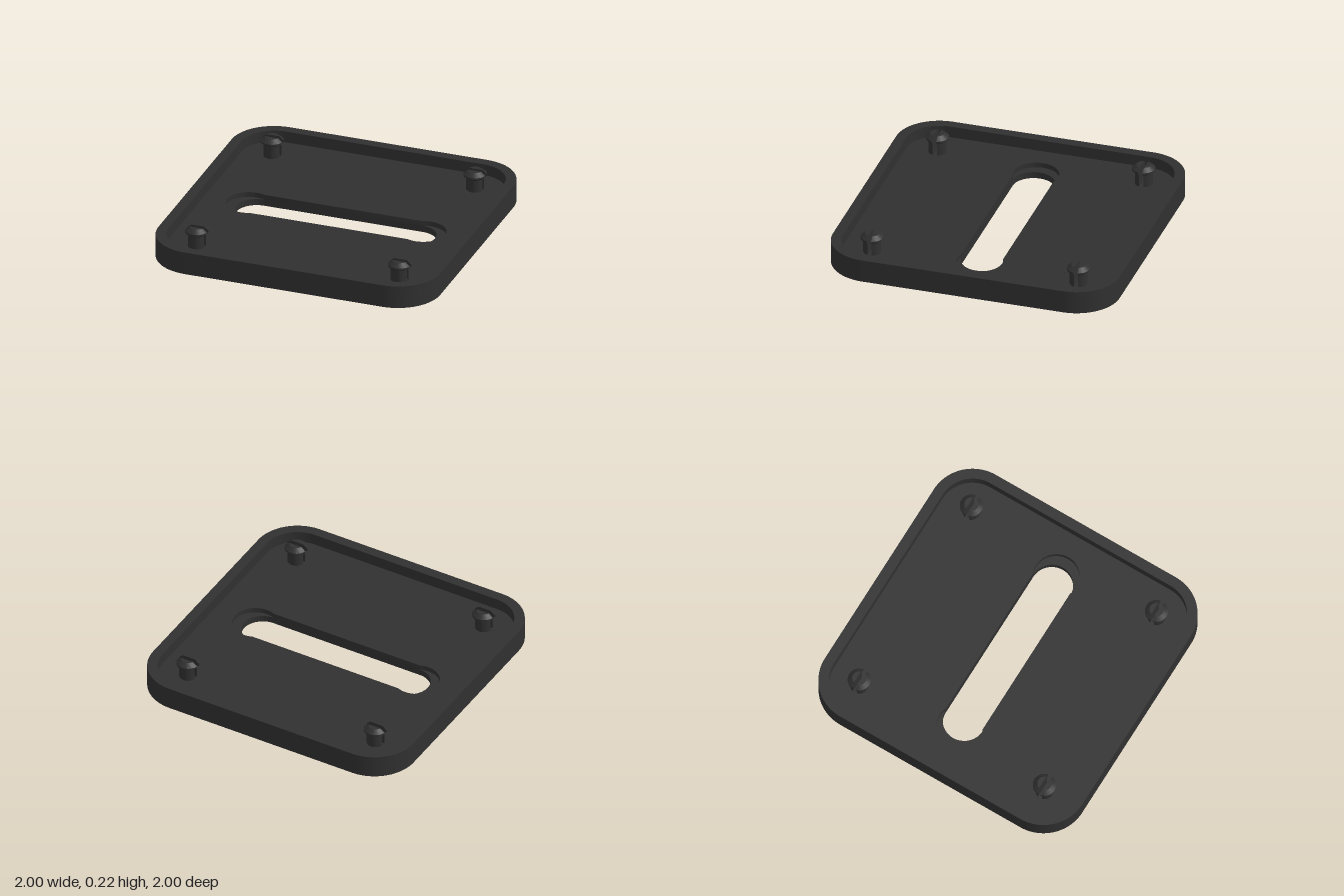
import * as THREE from 'three';
import { toCreasedNormals, mergeGeometries } from 'three/addons/utils/BufferGeometryUtils.js';

const FLOOR = 0.08, LEDGE = 0.045, RIM = 0.16;
const SLOT_R = 0.143, GAP = 0.015;

// Rounded square outline
function roundedSquare(half, r, Type = THREE.Shape) {
  const s = new Type(), c = half - r, q = Math.PI / 2;
  s.absarc(c, c, r, 0, q);
  s.absarc(-c, c, r, q, 2 * q);
  s.absarc(-c, -c, r, 2 * q, 3 * q);
  s.absarc(c, -c, r, 3 * q, 4 * q);
  s.closePath();
  return s;
}

// Long opening whose end arcs sweep from -sweep to +sweep
function opening(cx, r, sweep) {
  const p = new THREE.Path();
  p.absarc(cx, 0, r, -sweep, sweep);
  p.absarc(-cx, 0, r, Math.PI - sweep, Math.PI + sweep);
  p.closePath();
  return p;
}

// Flat layer between two heights
function layer(name, shape, hole, y0, y1, material) {
  shape.holes.push(hole);
  const g = new THREE.ExtrudeGeometry(shape, { depth: y1 - y0, bevelEnabled: false, curveSegments: 24 });
  g.rotateX(-Math.PI / 2).translate(0, y0, 0);
  const mesh = new THREE.Mesh(toCreasedNormals(g, 0.5), material);
  mesh.name = name;
  return mesh;
}

// Half of a split pin: a half lathe trimmed flat at z = GAP
function pinHalfGeometry() {
  const profile = [
    [0.06, FLOOR], [0.06, 0.168], [0.068, 0.175], [0.078, 0.182],
    [0.078, 0.195], [0.048, 0.22], [GAP, 0.22],
  ].map(([r, y]) => new THREE.Vector2(r, y));
  const body = new THREE.LatheGeometry(profile, 20, -Math.PI / 2, Math.PI);
  const p = body.attributes.position;
  for (let i = 0; i < p.count; i++) {
    const r = Math.max(Math.hypot(p.getX(i), p.getZ(i)), GAP);
    const a = Math.atan2(p.getX(i), p.getZ(i)) * Math.acos(Math.min(1, GAP / r)) / (Math.PI / 2);
    p.setX(i, r * Math.sin(a));
    p.setZ(i, r * Math.cos(a));
  }
  // Flat inner face
  const edge = profile.map(v => new THREE.Vector2(Math.sqrt(Math.max(0, v.x * v.x - GAP * GAP)), v.y));
  const mirrored = edge.slice(0, -1).reverse().map(v => new THREE.Vector2(-v.x, v.y));
  const face = new THREE.ShapeGeometry(new THREE.Shape([...edge, ...mirrored]));
  face.rotateY(Math.PI).translate(0, 0, GAP);
  return toCreasedNormals(mergeGeometries([body.toNonIndexed(), face.toNonIndexed()]), 0.4);
}

export function createModel() {
  const model = new THREE.Group();
  model.name = 'mountingPlate';
  const plastic = new THREE.MeshStandardMaterial({ color: 0x303030 });
  plastic.name = 'charcoal plastic';

  // Tray: raised rim, lower floor with the slot, upper floor with round end recesses
  const endSweep = Math.PI - Math.asin(SLOT_R / 0.155);
  model.add(
    layer('rim', roundedSquare(1, 0.3), roundedSquare(0.93, 0.23, THREE.Path), 0, RIM, plastic),
    layer('lowerFloor', roundedSquare(0.93, 0.23), opening(0.562, SLOT_R, Math.PI / 2), 0, LEDGE, plastic),
    layer('upperFloor', roundedSquare(0.93, 0.23), opening(0.62, 0.155, endSweep), LEDGE, FLOOR, plastic),
  );

  // Four split snap pins
  const half = pinHalfGeometry();
  for (const x of [-0.72, 0.72]) for (const z of [-0.72, 0.72]) {
    const pin = new THREE.Group();
    pin.name = 'snapPin';
    for (const turn of [0, Math.PI]) {
      const mesh = new THREE.Mesh(half, plastic);
      mesh.name = 'pinHalf';
      mesh.rotation.y = turn;
      pin.add(mesh);
    }
    pin.position.set(x, 0, z);
    model.add(pin);
  }
  return model;
}
